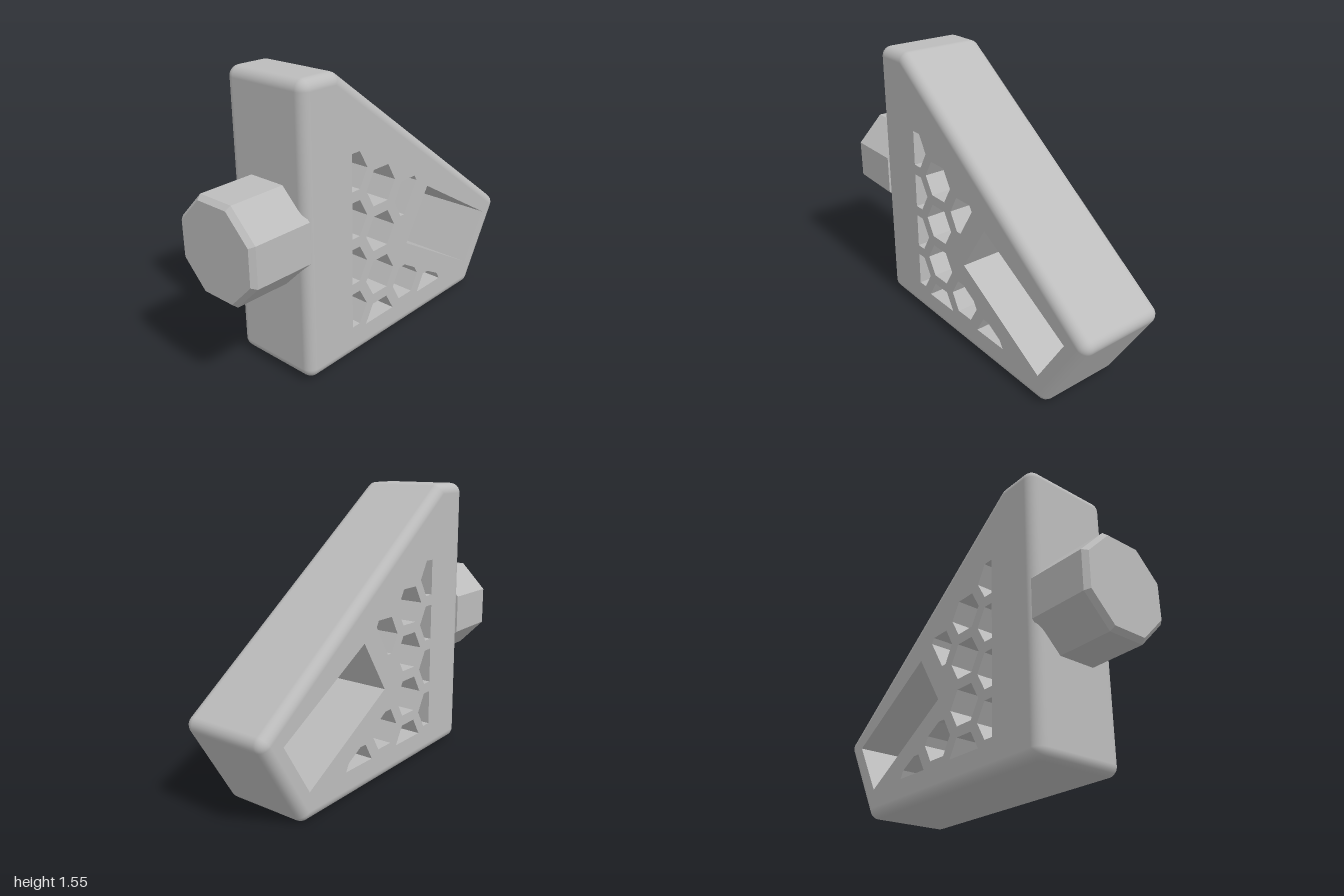
import * as THREE from 'three';

const HALF = 0.2575; // half width of the body
const R = 0.055; // edge rounding

// Corner centres of the side profile as [z, y]; the rounding is swept around them
const corners = [[0.615, 1.495], [0.46, 1.495], [-0.945, 0.469], [-0.7, 0.056], [0.615, 0.07]];

// Hexagonal cell, cut off at the front and bottom border of the grille
function hexCell(z, y) {
  const dz = 0.113, dy = 0.098;
  return [[dz, 0], [dz / 2, dy], [-dz / 2, dy], [-dz, 0], [-dz / 2, -dy], [dz / 2, -dy]]
    .map(([a, b]) => [Math.min(z + a, 0.356), Math.max(y + b, 0.158)]);
}

function sideHoles() {
  const holes = [
    [[-0.265, 0.795], [-0.865, 0.442], [-0.694, 0.158], [-0.088, 0.511]], // large window
    // cells trimmed by the window and the sloping border
    [[-0.03, 0.89], [-0.145, 0.89], [-0.163, 0.86], [-0.062, 0.692], [-0.03, 0.692], [0.024, 0.79]],
    [[-0.03, 0.383], [-0.078, 0.383], [-0.169, 0.33], [-0.196, 0.286], [-0.142, 0.19], [-0.03, 0.19], [0.024, 0.286]],
    [[-0.2, 0.158], [-0.254, 0.254], [-0.297, 0.254], [-0.394, 0.2], [-0.417, 0.158]],
  ];
  for (let i = 0; i < 4; i++) {
    holes.push(hexCell(0.356, 0.284 + i * 0.254));
    holes.push(hexCell(0.137, 0.158 + i * 0.254));
  }
  return holes;
}

// Flat sides and hole walls
function coreGeometry() {
  const toPoints = (list) => list.map(([z, y]) => new THREE.Vector2(z, y));
  const shape = new THREE.Shape(toPoints(corners));
  shape.holes = sideHoles().map((h) => new THREE.Path(toPoints(h)));
  const geo = new THREE.ExtrudeGeometry(shape, { depth: 2 * HALF, bevelEnabled: false });
  return geo.translate(0, 0, -HALF).rotateY(-Math.PI / 2);
}

// Outer band with rounded edges and spherical corners
function rimGeometry() {
  const steps = 6, n = corners.length, ring = [], section = [];
  const edgeAngle = (i) => {
    const a = corners[(i + n) % n], b = corners[(i + 1) % n];
    return Math.atan2(a[0] - b[0], b[1] - a[1]);
  };
  corners.forEach(([z, y], i) => {
    const start = edgeAngle(i - 1);
    let turn = edgeAngle(i) - start;
    if (turn < 0) turn += 2 * Math.PI;
    for (let s = 0; s <= steps; s++) ring.push([z, y, start + turn * s / steps]);
  });
  for (const side of [-1, 1]) {
    for (let s = 0; s <= steps; s++) {
      const t = side < 0 ? s / steps - 1 : s / steps;
      section.push([side * (HALF - R), t * Math.PI / 2]);
    }
  }
  const pos = [], nor = [], index = [], m = section.length;
  ring.forEach(([z, y, a], j) => {
    section.forEach(([w, phi], k) => {
      const d = [Math.cos(a) * Math.cos(phi), Math.sin(a) * Math.cos(phi), Math.sin(phi)];
      pos.push(z + R * d[0], y + R * d[1], w + R * d[2]);
      nor.push(...d);
      if (k === m - 1) return;
      const p = j * m + k, q = ((j + 1) % ring.length) * m + k;
      index.push(p, q, q + 1, p, q + 1, p + 1);
    });
  });
  const geo = new THREE.BufferGeometry();
  geo.setAttribute('position', new THREE.Float32BufferAttribute(pos, 3));
  geo.setAttribute('normal', new THREE.Float32BufferAttribute(nor, 3));
  geo.setIndex(index);
  return geo.rotateY(-Math.PI / 2);
}

// Octagonal stud with a chamfered front
function studGeometry() {
  const k = 1 / Math.cos(Math.PI / 8);
  const profile = [[0, 0.65], [0.258, 0.65], [0.254, 0.975], [0.232, 1], [0, 1]]
    .map(([r, z]) => new THREE.Vector2(r * k, z));
  const geo = new THREE.LatheGeometry(profile, 8, Math.PI / 8).toNonIndexed();
  geo.computeVertexNormals();
  return geo.rotateX(Math.PI / 2).translate(0, 0.783, 0);
}

export function createModel() {
  const grey = new THREE.MeshStandardMaterial({ color: 0xbcbcbc });
  grey.name = 'grey';
  const model = new THREE.Group();
  model.name = 'wedgeWithStud';
  const add = (parent, name, geo) => {
    const mesh = new THREE.Mesh(geo, grey);
    mesh.name = name;
    parent.add(mesh);
  };
  const body = new THREE.Group();
  body.name = 'body';
  add(body, 'perforatedSides', coreGeometry());
  add(body, 'roundedRim', rimGeometry());
  model.add(body);
  add(model, 'octagonalStud', studGeometry());
  return model;
}
